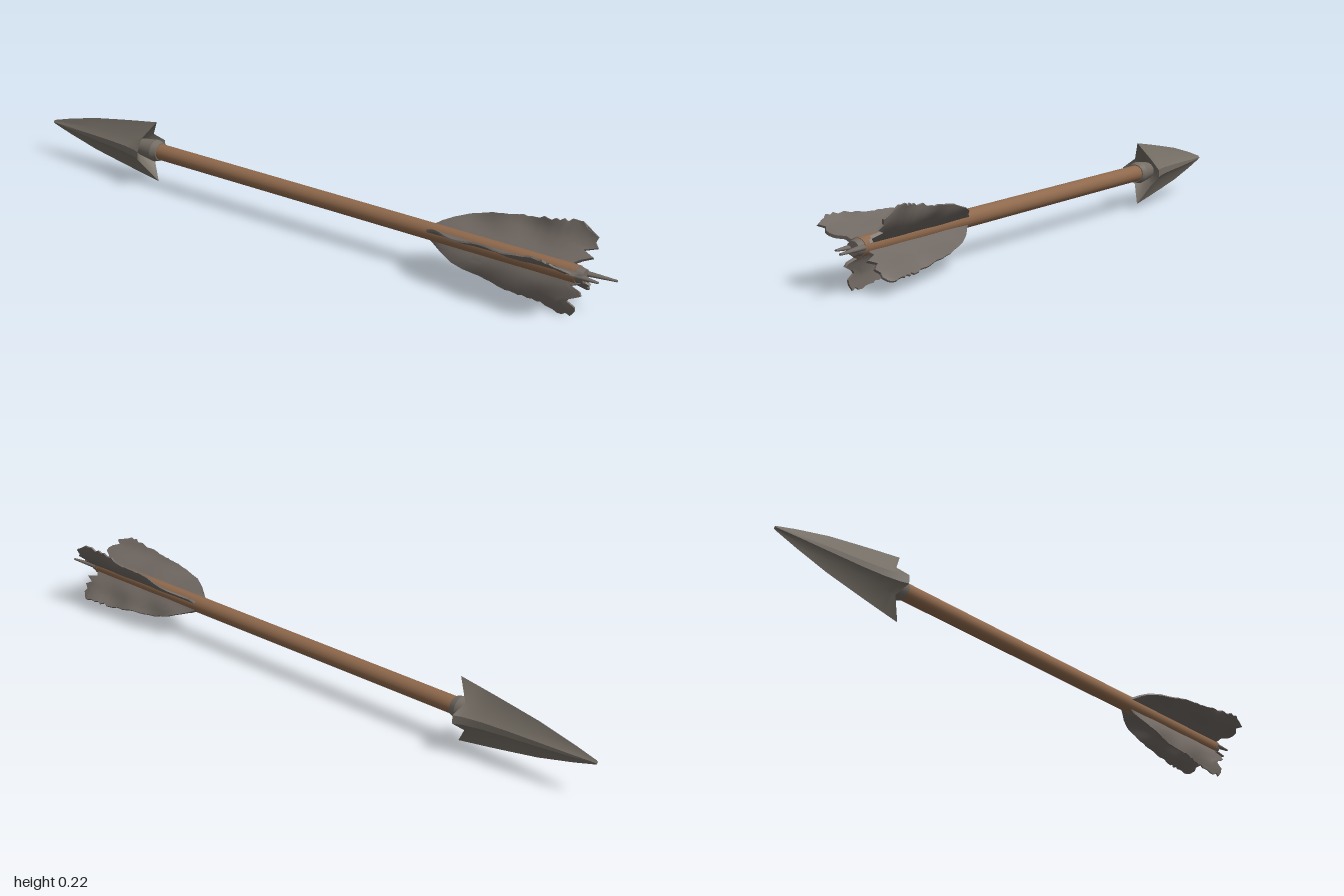
import * as THREE from 'three';
import { toCreasedNormals } from 'three/addons/utils/BufferGeometryUtils.js';

const CY = 0.121, CZ = -0.011; // shaft axis

// Skins rings of points (ordered from +y towards +z, running along +x) and caps both ends
function loft(rings, crease) {
  const n = rings[0].length, pos = rings.flat().flatMap((p) => p.toArray()), idx = [];
  for (let i = 0; i < rings.length - 1; i++) {
    for (let j = 0; j < n; j++) {
      const a = i * n + j, b = i * n + (j + 1) % n;
      idx.push(a, b, a + n, b, b + n, a + n);
    }
  }
  const last = (rings.length - 1) * n;
  for (let j = 0; j < n / 2 - 1; j++) {
    const a = j, b = j + 1, c = n - 2 - j, d = n - 1 - j;
    idx.push(a, c, b, a, d, c);
    idx.push(last + a, last + b, last + c, last + a, last + c, last + d);
  }
  const g = new THREE.BufferGeometry();
  g.setAttribute('position', new THREE.Float32BufferAttribute(pos, 3));
  g.setIndex(idx);
  return toCreasedNormals(g, crease);
}

// Arrowhead: concave diamond sections, swept-back barbs and a hollow rear
function headGeometry() {
  const section = [[1, 0], [0.42, 0.46], [0.13, 1], [-0.13, 1], [-0.42, 0.46],
    [-1, 0], [-0.42, -0.46], [-0.13, -1], [0.13, -1], [0.42, -0.46]];
  const stations = [[-1, 0.006, 0.005], [-0.93, 0.026, 0.014], [-0.82, 0.053, 0.025],
    [-0.73, 0.069, 0.033], [-0.66, 0.081, 0.042], [-0.61, 0.089, 0.053], [-0.57, 0.097, 0.064]];
  const rings = stations.map(([x, h, w], i) => section.map(([y, z], j) => {
    const barb = i === stations.length - 1 ? (j % 5 === 0 ? 0.01 : Math.abs(z) === 1 ? -0.015 : -0.03) : 0;
    return new THREE.Vector3(x + barb, CY - 0.003 + y * h, CZ + z * w);
  }));
  rings.push(section.map((_, j) => {
    const a = j / 10 * Math.PI * 2;
    return new THREE.Vector3(-0.625, CY + 0.024 * Math.cos(a), CZ + 0.024 * Math.sin(a));
  }));
  return loft(rings, 0.55);
}

// Feather vane: curved blade with a ragged outer edge and a frayed trailing edge
function featherGeometry(path, seed, endX) {
  const curve = new THREE.CatmullRomCurve3(path.map(([z, y]) => new THREE.Vector3(0, y, z)));
  const rand = (k) => {
    const s = Math.sin(k * 12.9898 + seed * 78.233) * 43758.5453;
    return s - Math.floor(s);
  };
  const NX = 34, NV = 8, rings = [];
  const outline = [[0, 0.2], [0.06, 0.36], [0.15, 0.53], [0.3, 0.67], [0.5, 0.79], [0.75, 0.91], [0.93, 1], [1, 0.9]];
  for (let i = 0; i <= NX; i++) {
    const t = i / NX;
    const k = Math.max(1, outline.findIndex((o) => o[0] >= t));
    const [t0, h0] = outline[k - 1], [t1, h1] = outline[k];
    const h = Math.min(1, (h0 + (h1 - h0) * (t - t0) / (t1 - t0)) * (1 - 0.1 * rand(i) * t));
    const out = [], back = [];
    for (let j = 0; j <= NV; j++) {
      const v = j / NV, u = v * h;
      const p = curve.getPoint(u), d = curve.getTangent(u);
      const fray = 0.05 * (rand(100 + j) - 0.6) * Math.pow(t, 6);
      const wave = 0.004 * v * Math.sin(t * 17 + seed * 2 + v * 3);
      const half = 0.0055 - 0.003 * v;
      p.x = 0.43 + 0.03 * v * (1 - t) + (endX - 0.43) * t + fray;
      const side = (o) => new THREE.Vector3(p.x, p.y + d.z * o, p.z - d.y * o);
      out.push(side(wave + half));
      back.unshift(side(wave - half));
    }
    rings.push([...out, ...back]);
  }
  return loft(rings, 0.7);
}

export function createModel() {
  const model = new THREE.Group();
  const mat = (name, color) => new THREE.MeshStandardMaterial({ name, color });
  const wood = mat('brown wood', 0x8f694c);
  const metal = mat('grey metal', 0x756e65);
  const feather = mat('grey feather', 0x706862);

  const add = (name, geometry, material) => {
    const m = new THREE.Mesh(geometry, material);
    m.name = name;
    model.add(m);
    return m;
  };
  // Cylinder along x between two positions
  const rod = (name, x0, x1, r0, r1, material, y = CY, z = CZ) => {
    const m = add(name, new THREE.CylinderGeometry(r1, r0, x1 - x0, 20), material);
    m.rotation.z = -Math.PI / 2;
    m.position.set((x0 + x1) / 2, y, z);
    return m;
  };

  rod('shaft', -0.64, 0.9, 0.025, 0.025, wood);

  // Head with its flared socket
  add('arrowhead', headGeometry(), metal);
  rod('headSocket', -0.63, -0.565, 0.025, 0.034, metal);
  rod('headSocketRim', -0.565, -0.545, 0.034, 0.028, metal);

  // Four feathers, each following its own bent path (z, y)
  const paths = [
    [[-0.022, 0.128], [-0.062, 0.155], [-0.09, 0.19], [-0.102, 0.236]],
    [[0.003, 0.128], [0.04, 0.147], [0.08, 0.166], [0.106, 0.192]],
    [[-0.024, 0.112], [-0.05, 0.09], [-0.075, 0.06], [-0.107, 0.036]],
    [[-0.007, 0.108], [0.009, 0.08], [0.014, 0.045], [0.008, 0.002]],
  ];
  paths.forEach((p, i) => add('feather' + (i + 1), featherGeometry(p, i + 1, 0.9 + 0.01 * (i % 2)), feather));

  // Nock cap and its two uneven prongs
  rod('nock', 0.89, 0.92, 0.0255, 0.019, feather);
  const prong = (name, x1, z, turn) => {
    const m = rod(name, 0.9, x1, 0.011, 0.004, feather, CY + 0.001, z);
    m.rotation.set(0, turn, -Math.PI / 2);
    m.scale.x = 0.7;
  };
  prong('nockProngBack', 1, -0.03, 0.08);
  prong('nockProngFront', 0.965, 0.004, -0.06);

  return model;
}
